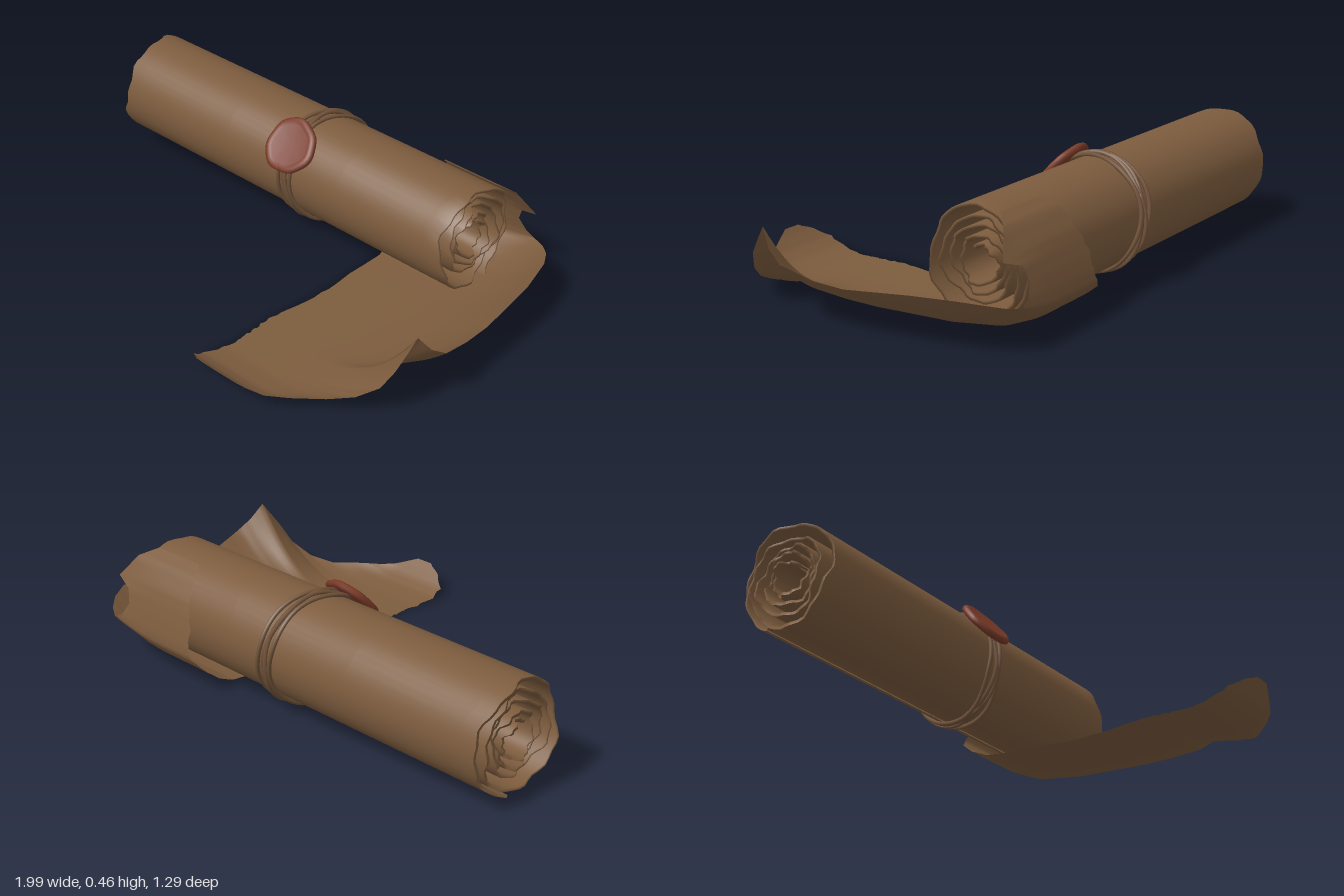
import * as THREE from 'three';

const AXIS_Y = 0.245, AXIS_Z = -0.41, ROLL_R = 0.198;

// Deterministic wobble for torn edges, roughly in -1..1
const ragged = (a, seed) =>
  0.5 * Math.sin(a * 2.3 + seed) + 0.3 * Math.sin(a * 5.1 + seed * 2.7) + 0.2 * Math.sin(a * 11.7 + seed * 1.3);

// Surface from a grid of points; point(i, j) returns [x, y, z]
function gridSurface(rows, cols, point) {
  const positions = [], indices = [];
  for (let i = 0; i <= rows; i++)
    for (let j = 0; j <= cols; j++) positions.push(...point(i, j));
  for (let i = 0; i < rows; i++)
    for (let j = 0; j < cols; j++) {
      const a = i * (cols + 1) + j, b = a + cols + 1;
      indices.push(a, a + 1, b, b, a + 1, b + 1);
    }
  const geometry = new THREE.BufferGeometry();
  geometry.setAttribute('position', new THREE.Float32BufferAttribute(positions, 3));
  geometry.setIndex(indices);
  geometry.computeVertexNormals();
  return geometry;
}

// Spiral of paper running along x, hollow in the middle, with torn ends
function rolledPaper() {
  const turns = 4.6, steps = 220, thick = 0.011;
  const at = (i, x, inset) => {
    const t = i / steps;
    const angle = -Math.PI * 0.6 - (1 - t) * turns * Math.PI * 2;
    // the last turn lies loose, a little away from the coils inside
    const loose = THREE.MathUtils.smoothstep(t, 0.74, 0.82);
    const r = 0.058 + 0.112 * Math.min(t / 0.78, 1) + (ROLL_R - 0.17) * loose - inset;
    return [x, AXIS_Y + Math.sin(angle) * r, AXIS_Z + Math.cos(angle) * r];
  };
  // section across the sheet: outer face, torn edge, inner face, torn edge
  const section = [[0, 0], [0.04, 0], [0.35, 0], [0.7, 0], [0.96, 0], [1, 0],
    [1, thick], [0.5, thick], [0, thick], [0, 0]];
  return gridSurface(steps, section.length - 1, (i, j) => {
    const a = i * 0.13, t = i / steps;
    const left = -0.965 + 0.027 * ragged(a, 1.0);
    const right = 0.68 + 0.028 * ragged(a, 4.2) - 0.02 * (1 - t);
    const [s, inset] = section[j];
    return at(i, left + (right - left) * s, inset);
  });
}

// Loose sheet: z, left x, right x, base height, height of the curled right edge
const SHEET = [
  [-0.50, 0.45, 0.68, 0.432, 0.432],
  [-0.55, 0.42, 0.74, 0.400, 0.400],
  [-0.595, 0.40, 0.805, 0.335, 0.315],
  [-0.614, 0.38, 0.73, 0.290, 0.290],
  [-0.63, 0.36, 0.71, 0.240, 0.240],
  [-0.645, 0.36, 0.74, 0.180, 0.190],
  [-0.648, 0.34, 0.78, 0.140, 0.170],
  [-0.62, 0.29, 0.83, 0.100, 0.180],
  [-0.57, 0.28, 0.88, 0.060, 0.195],
  [-0.50, 0.28, 0.92, 0.030, 0.205],
  [-0.35, 0.29, 0.96, 0.012, 0.205],
  [-0.10, 0.30, 0.98, 0.012, 0.180],
  [0.02, 0.30, 0.985, 0.012, 0.185],
  [0.15, 0.28, 1.00, 0.012, 0.220],
  [0.21, 0.27, 0.985, 0.012, 0.260],
  [0.255, 0.27, 0.96, 0.012, 0.320],
  [0.29, 0.275, 0.95, 0.012, 0.270],
  [0.33, 0.275, 0.935, 0.012, 0.210],
  [0.36, 0.275, 0.90, 0.012, 0.140],
  [0.40, 0.28, 0.83, 0.012, 0.085],
  [0.45, 0.27, 0.75, 0.012, 0.060],
  [0.53, 0.255, 0.66, 0.025, 0.060],
  [0.58, 0.26, 0.59, 0.050, 0.060],
  [0.62, 0.31, 0.50, 0.085, 0.080],
  [0.643, 0.37, 0.44, 0.110, 0.110],
];

function looseSheet() {
  const split = 3, cols = 24, rows = (SHEET.length - 1) * split;
  return gridSurface(rows, cols, (i, j) => {
    const k = Math.min(Math.floor(i / split), SHEET.length - 2), f = i / split - k;
    const [z, xl, xr, base, edge] = SHEET[k].map((v, n) => v + (SHEET[k + 1][n] - v) * f);
    const left = xl + 0.006 * ragged(i * 0.8, 2);
    const x = left + (xr - left) * (j / cols);
    const curl = Math.max(0, (x - 0.5) / Math.max(xr - 0.5, 0.05));
    return [x, base + (edge - base) * Math.pow(Math.min(curl, 1), 2.4), z];
  });
}

// One turn of string round the roll; shift moves it sideways towards the back
function stringLoop(x, shift, seed) {
  const points = [];
  for (let i = 0; i < 20; i++) {
    const a = (i / 20) * Math.PI * 2;
    const r = ROLL_R + 0.009 + 0.004 * Math.sin(a * 3 + seed);
    points.push(new THREE.Vector3(
      x + shift * (1 - Math.cos(a - 0.7)) / 2 + 0.006 * Math.sin(a * 4 + seed),
      AXIS_Y + Math.sin(a) * r, AXIS_Z + Math.cos(a) * r));
  }
  return new THREE.TubeGeometry(new THREE.CatmullRomCurve3(points, true), 60, 0.008, 6, true);
}

// Wax disc with an uneven rim and a shallow pressed middle
function waxSeal() {
  const profile = [[0, -0.014], [0.095, -0.014], [0.108, -0.006], [0.108, 0.006],
    [0.098, 0.014], [0.084, 0.014], [0.078, 0.009], [0, 0.009]]
    .map(([r, y]) => new THREE.Vector2(r, y));
  const geometry = new THREE.LatheGeometry(profile, 36);
  const p = geometry.attributes.position;
  for (let i = 0; i < p.count; i++) {
    const a = Math.atan2(p.getZ(i), p.getX(i));
    const k = 1 + 0.025 * Math.sin(a * 3 + 1) + 0.018 * Math.sin(a * 7);
    p.setX(i, p.getX(i) * k);
    p.setZ(i, p.getZ(i) * k);
  }
  geometry.computeVertexNormals();
  return geometry;
}

export function createModel() {
  const paper = new THREE.MeshStandardMaterial({ color: 0x7d5c3e, side: THREE.DoubleSide });
  paper.name = 'aged paper';
  const twine = new THREE.MeshStandardMaterial({ color: 0x72533a });
  twine.name = 'brown twine';
  const wax = new THREE.MeshStandardMaterial({ color: 0x7a3a28 });
  wax.name = 'red wax';

  const model = new THREE.Group();
  model.name = 'sealedScroll';
  const add = (name, geometry, material, parent = model) => {
    const mesh = new THREE.Mesh(geometry, material);
    mesh.name = name;
    parent.add(mesh);
    return mesh;
  };

  add('rolledPaper', rolledPaper(), paper);
  add('looseSheet', looseSheet(), paper);

  // String wound round the middle of the roll
  const string = new THREE.Group();
  string.name = 'string';
  [[-0.105, 0.07], [-0.085, 0.085], [-0.065, 0.05], [-0.045, 0.07]].forEach(([x, shift], i) =>
    add('stringLoop', stringLoop(x, shift, i * 1.9), twine, string));
  model.add(string);

  // Seal leaning on the upper front of the roll
  const seal = add('waxSeal', waxSeal(), wax);
  const tilt = 0.87;
  seal.rotation.x = tilt;
  seal.position.set(-0.073, AXIS_Y + Math.cos(tilt) * 0.212, AXIS_Z + Math.sin(tilt) * 0.212);
  return model;
}
